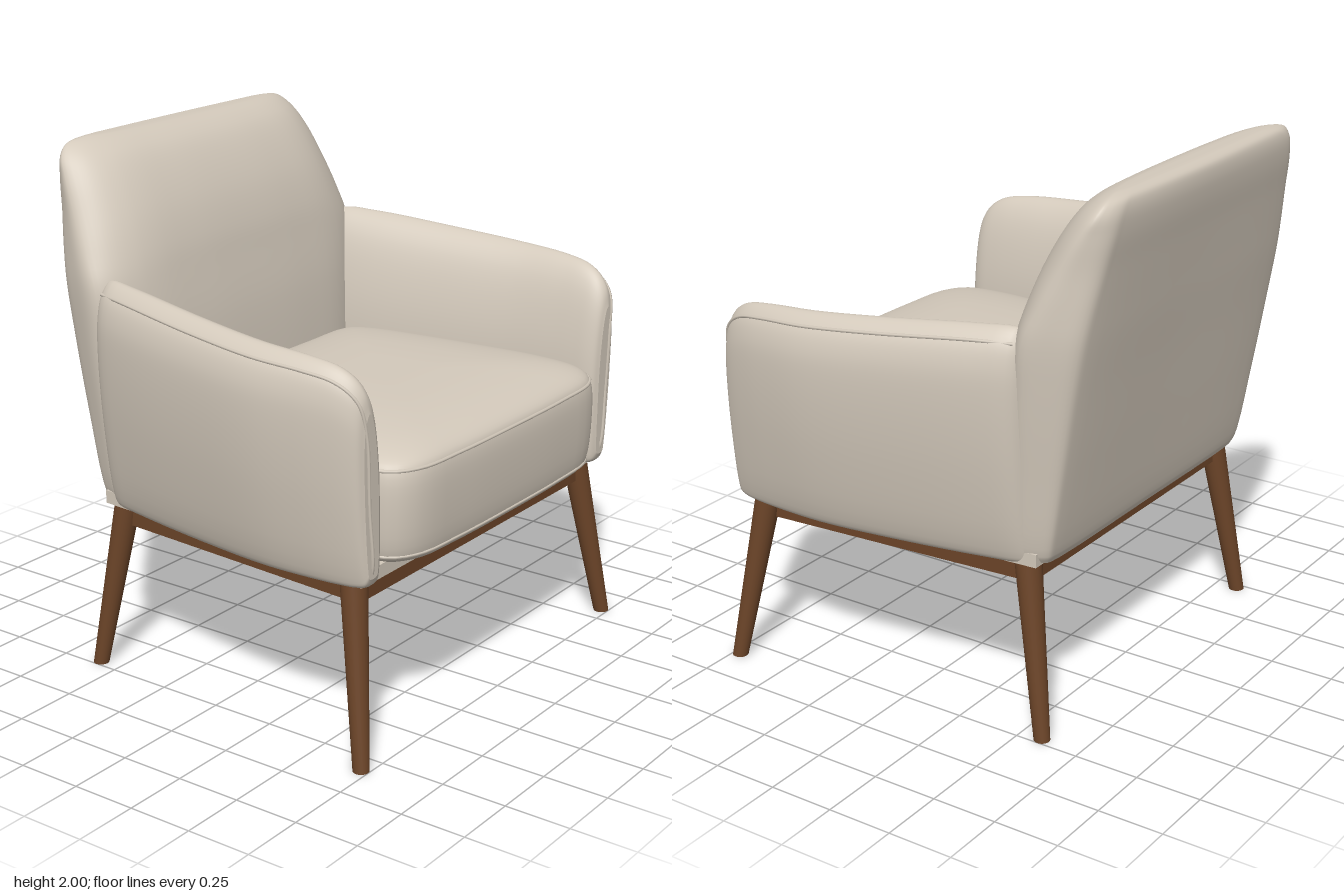
import * as THREE from 'three';

const V = (x, y, z) => new THREE.Vector3(x, y, z);
const closed = (pts) => new THREE.CatmullRomCurve3(pts, true, 'centripetal');
const open = (pts) => new THREE.CatmullRomCurve3(pts, false, 'centripetal');

// Smooth skin through closed cross-sections that all have the same point count
function loft(sections, around = 64, along = 40, smooth = true) {
  const rings = sections.map((s) => closed(s).getPoints(around).slice(0, around));
  const columns = [];
  for (let i = 0; i < around; i++) {
    const path = rings.map((r) => r[i]);
    columns.push(smooth ? open(path).getPoints(along) : path);
  }
  const rows = columns[0].length;
  const pos = [], index = [];
  for (let j = 0; j < rows; j++) for (let i = 0; i < around; i++) pos.push(...columns[i][j].toArray());
  for (let j = 0; j < rows - 1; j++) {
    for (let i = 0; i < around; i++) {
      const a = j * around + i, b = j * around + (i + 1) % around;
      index.push(a, b, a + around, b, b + around, a + around);
    }
  }
  // end caps with their own vertices, so the rims stay crisp
  for (const j of [0, rows - 1]) {
    const start = pos.length / 3, centre = V(0, 0, 0);
    for (let i = 0; i < around; i++) {
      pos.push(...columns[i][j].toArray());
      centre.addScaledVector(columns[i][j], 1 / around);
    }
    pos.push(...centre.toArray());
    for (let i = 0; i < around; i++) {
      const a = start + i, b = start + (i + 1) % around, c = start + around;
      if (j === 0) index.push(b, a, c); else index.push(a, b, c);
    }
  }
  // turn the faces outward whichever way the sections run
  let volume = 0;
  const p = (k) => V(pos[3 * k], pos[3 * k + 1], pos[3 * k + 2]);
  for (let k = 0; k < index.length; k += 3) volume += p(index[k]).dot(p(index[k + 1]).cross(p(index[k + 2])));
  if (volume < 0) index.reverse();
  const geo = new THREE.BufferGeometry();
  geo.setAttribute('position', new THREE.Float32BufferAttribute(pos, 3));
  geo.setIndex(index);
  geo.computeVertexNormals();
  return geo;
}

// Full outline from its +x half, running from the front centre to the rear centre
const mirrored = (half) => [...half, ...half.slice(1, -1).reverse().map((p) => V(-p.x, p.y, p.z))];

const piping = (curve, loop) => new THREE.TubeGeometry(curve, 120, 0.007, 6, loop);

// Backrest section at height y: half width, front, widest point, rear
function backSection([y, w, front, side, rear]) {
  const d = front - side;
  const k = THREE.MathUtils.clamp(0.5 + (y - 0.66) * 0.6, 0.5, 1); // corners tighten toward the base
  return mirrored([
    V(0, y, front), V(w * 0.4, y, front - d * 0.03), V(w * 0.75, y, front - d * 0.18),
    V(w * 0.93, y, front - d * 0.55), V(w, y, side), V(w - 0.025 * k, y, side + (rear - side) * 0.55),
    V(w - 0.07 * k, y, side + (rear - side) * 0.92), V(w - 0.14 * k, y, rear), V(0, y, rear - 0.005),
  ]);
}

// Armrest section at depth z: inner x, outer x, top, bottom, times side s
function armSection([z, xi, xo, top, bottom], s) {
  const w = xo - xi, h = top - bottom;
  return [
    [0.12, 0], [0.03, 0.04], [0, 0.3], [0.06, 0.62], [0.28, 0.88], [0.5, 0.98], [0.66, 1],
    [0.86, 0.95], [0.97, 0.86], [1, 0.72], [0.92, 0.4], [0.7, 0.05], [0.6, 0],
  ].map(([u, v]) => V(s * (xi + u * w), bottom + v * h, z));
}

// Seat cushion outline at height y, scaled about its middle
function cushionSection(y, k) {
  const half = [[0, 0.8], [0.35, 0.795], [0.57, 0.775], [0.665, 0.71], [0.697, 0.55],
    [0.685, 0.3], [0.657, 0], [0.615, -0.27], [0.56, -0.365], [0.3, -0.38], [0, -0.38]];
  return mirrored(half.map(([x, z]) => V(x * k, y, 0.21 + (z - 0.21) * k)));
}

// Slab over a trapezoid plan, wide at the front, shrunk by d; an inset cuts a hole
function trapezoid(y, height, d = 0, inset = 0) {
  const corners = (e) => [[-0.755 + e, -0.65 + e], [0.755 - e, -0.65 + e], [0.67 - e, 0.515 - e], [-0.67 + e, 0.515 - e]]
    .map(([x, v]) => new THREE.Vector2(x, v));
  const shape = new THREE.Shape(corners(d));
  if (inset) shape.holes.push(new THREE.Path(corners(d + inset)));
  const geo = new THREE.ExtrudeGeometry(shape, { depth: height, bevelEnabled: false });
  return geo.rotateX(-Math.PI / 2).translate(0, y, 0);
}

const circle = (x, y, z, r) => Array.from({ length: 12 }, (_, i) => {
  const a = i / 12 * Math.PI * 2;
  return V(x + r * Math.cos(a), y, z + r * Math.sin(a));
});

export function createModel() {
  const fabric = new THREE.MeshStandardMaterial({ color: 0xd3c9bb });
  fabric.name = 'beige fabric';
  const wood = new THREE.MeshStandardMaterial({ color: 0x6b4428 });
  wood.name = 'brown wood';

  const model = new THREE.Group();
  model.name = 'armchair';
  const add = (name, geo, mat) => {
    const mesh = new THREE.Mesh(geo, mat);
    mesh.name = name;
    model.add(mesh);
  };

  // Backrest, leaning back with a rounded top
  add('backrest', loft([
    [0.665, 0.695, -0.33, -0.46, -0.575], [0.7, 0.71, -0.33, -0.47, -0.59], [1.0, 0.74, -0.34, -0.49, -0.645],
    [1.3, 0.762, -0.365, -0.51, -0.695], [1.5, 0.768, -0.4, -0.53, -0.73], [1.62, 0.75, -0.425, -0.58, -0.75],
    [1.75, 0.722, -0.47, -0.64, -0.772], [1.87, 0.695, -0.535, -0.7, -0.793], [1.94, 0.668, -0.59, -0.74, -0.798],
    [1.98, 0.625, -0.645, -0.755, -0.79], [1.997, 0.55, -0.69, -0.745, -0.765], [2.0, 0.45, -0.715, -0.735, -0.745],
  ].map(backSection), 72, 48), fabric);

  // Armrests, bowed outward, rounded at the front, with a seam over the top and down the front
  const armRows = [
    [-0.535, 0.57, 0.72, 1.48, 0.67], [-0.49, 0.565, 0.785, 1.53, 0.662], [-0.35, 0.575, 0.835, 1.53, 0.66],
    [0, 0.63, 0.9, 1.5, 0.66], [0.3, 0.67, 0.93, 1.475, 0.66], [0.5, 0.685, 0.913, 1.46, 0.66],
    [0.61, 0.693, 0.89, 1.44, 0.66], [0.67, 0.7, 0.87, 1.405, 0.662],
    [0.705, 0.715, 0.85, 1.355, 0.672], [0.72, 0.74, 0.825, 1.29, 0.7],
  ];
  for (const [side, s] of [['left', 1], ['right', -1]]) {
    add(side + 'Arm', loft(armRows.map((r) => armSection(r, s))), fabric);
    const seam = armRows.slice(1, 9).map((r) => armSection(r, s)[7]);
    seam.push(V(s * 0.81, 1.2, 0.72), V(s * 0.795, 0.95, 0.72), V(s * 0.775, 0.74, 0.72), V(s * 0.765, 0.675, 0.7));
    add(side + 'ArmPiping', piping(open(seam), false), fabric);
  }

  // Upholstered deck under the cushion
  add('seatDeck', trapezoid(0.658, 0.05, -0.035), fabric);

  // Crowned seat cushion with piped seams
  add('seatCushion', loft([
    [0.695, 0.92], [0.708, 0.965], [0.735, 0.99], [0.9, 1.012], [1.035, 1], [1.07, 0.97],
    [1.105, 0.86], [1.135, 0.62], [1.148, 0.32], [1.15, 0.03],
  ].map((r) => cushionSection(...r)), 72), fabric);
  add('cushionTopPiping', piping(closed(cushionSection(1.045, 0.994)), true), fabric);
  add('cushionBottomPiping', piping(closed(cushionSection(0.73, 0.986)), true), fabric);

  // Wooden rails around a flush fabric dust cover
  add('baseFrame', trapezoid(0.58, 0.085, 0, 0.015), wood);
  add('dustCover', trapezoid(0.583, 0.01, 0.014), fabric);

  // Splayed, tapered legs
  for (const [side, s] of [['Left', 1], ['Right', -1]]) {
    const leg = (x1, z1, x0, z0) =>
      loft([circle(s * x1, 0.665, z1, 0.05), circle(s * x0, 0, z0, 0.03)], 24, 1, false);
    add('front' + side + 'Leg', leg(0.745, 0.62, 0.838, 0.72), wood);
    add('rear' + side + 'Leg', leg(0.655, -0.485, 0.722, -0.59), wood);
  }
  return model;
}
